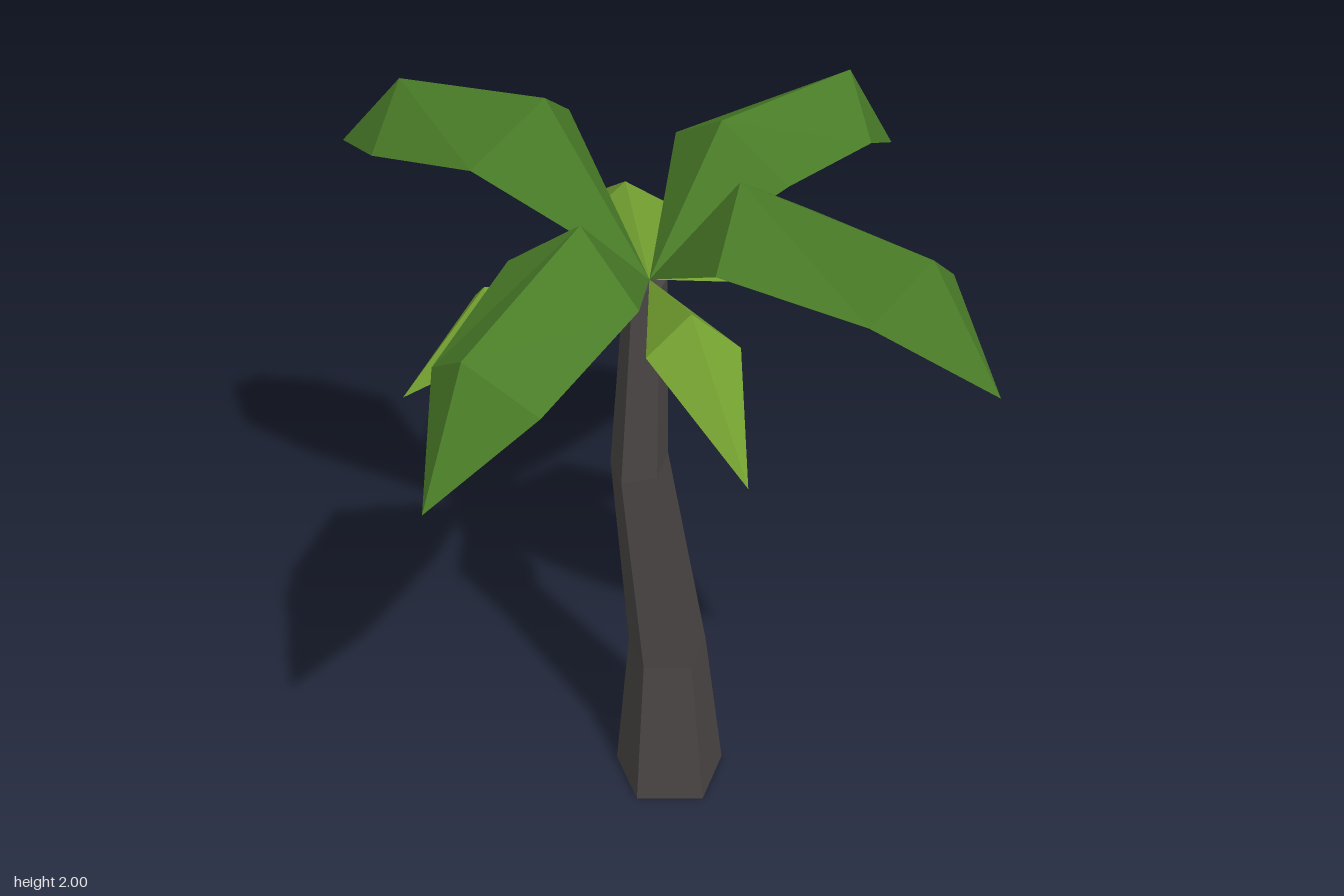
import * as THREE from 'three';

// Joins closed cross-sections with flat faces; a section of repeated points forms a tip
function loft(sections) {
  const positions = [];
  const addTriangle = (a, b, c) => {
    const area = b.clone().sub(a).cross(c.clone().sub(a)).length();
    if (area > 1e-7) for (const p of [a, b, c]) positions.push(p.x, p.y, p.z);
  };
  for (let k = 0; k < sections.length - 1; k++) {
    const s = sections[k], t = sections[k + 1];
    for (let i = 0; i < s.length; i++) {
      const j = (i + 1) % s.length;
      addTriangle(s[i], s[j], t[j]);
      addTriangle(s[i], t[j], t[i]);
    }
  }
  const geometry = new THREE.BufferGeometry();
  geometry.setAttribute('position', new THREE.Float32BufferAttribute(positions, 3));
  geometry.computeVertexNormals();
  return geometry;
}

const crown = [-0.02, 1.61, 0];
const vec = (p) => new THREE.Vector3(...p);
const point = (p, n) => Array.from({ length: n }, () => vec(p));

// A leaf runs from the crown through [left edge, ridge, right edge] sections to its tip
function leaf(sections, tip) {
  return loft([point(crown, 3), ...sections.map((s) => s.map(vec)), point(tip, 3)]);
}

// Five-sided ring: height, centre x, centre z, radius, and slope along x
function trunkRing([y, cx, cz, r, slope]) {
  return Array.from({ length: 5 }, (_, i) => {
    const a = (i / 5) * Math.PI * 2;
    const dx = r * Math.sin(a);
    return new THREE.Vector3(cx + dx, y + dx * slope, cz + r * Math.cos(a));
  });
}

export function createModel() {
  const bark = new THREE.MeshStandardMaterial({ color: 0x4a4545 });
  bark.name = 'bark';
  const darkGreen = new THREE.MeshStandardMaterial({ color: 0x4a7d28 });
  darkGreen.name = 'darkGreen';
  const lightGreen = new THREE.MeshStandardMaterial({ color: 0x739f30 });
  lightGreen.name = 'lightGreen';

  const group = new THREE.Group();
  group.name = 'palmTree';
  const add = (name, geometry, material) => {
    const mesh = new THREE.Mesh(geometry, material);
    mesh.name = name;
    group.add(mesh);
  };

  // Bent, tapering trunk with closed ends
  const rings = [
    [0, 0.052, -0.01, 0.15, 0],
    [0.44, 0.04, -0.005, 0.106, 0],
    [1.08, -0.05, -0.003, 0.075, 0.25],
    [1.61, -0.03, 0, 0.054, 0],
  ].map(trunkRing);
  add('trunk', loft([point([0.052, 0, -0.01], 5), ...rings, point([-0.03, 1.61, 0], 5)]), bark);

  // Large upper fronds
  add('rightFacingFrond', leaf([
    [[0.235, 1.81, -0.24], [0.22, 1.94, -0.04], [0.3, 1.81, 0.12]],
    [[0.615, 1.76, -0.28], [0.69, 1.88, -0.135], [0.64, 1.76, 0.015]],
  ], [0.865, 1.6, -0.165]), darkGreen);
  add('frontFrond', leaf([
    [[0.25, 1.835, 0.26], [0.055, 1.97, 0.245], [-0.1, 1.835, 0.36]],
    [[0.33, 1.84, 0.67], [0.195, 1.968, 0.748], [0.04, 1.84, 0.725]],
  ], [0.245, 1.69, 0.938]), darkGreen);
  add('backFrond', leaf([
    [[-0.31, 1.86, -0.31], [-0.113, 2, -0.285], [0.04, 1.86, -0.41]],
    [[-0.375, 1.76, -0.655], [-0.24, 1.895, -0.73], [-0.08, 1.76, -0.715]],
  ], [-0.29, 1.64, -0.942]), darkGreen);
  add('leftFacingFrond', leaf([
    [[-0.26, 1.77, 0.29], [-0.285, 1.908, 0.1], [-0.38, 1.77, -0.055]],
    [[-0.6, 1.68, 0.395], [-0.715, 1.805, 0.265], [-0.685, 1.68, 0.09]],
  ], [-0.865, 1.487, 0.315]), darkGreen);

  // Small lower leaves
  const lowerLeaves = [
    [[[0.335, 1.61, 0], [0.265, 1.7, 0.09], [0.225, 1.61, 0.2]], [0.57, 1.423, 0.155]],
    [[[-0.02, 1.61, 0.355], [-0.11, 1.7, 0.285], [-0.22, 1.61, 0.26]], [-0.18, 1.423, 0.595]],
    [[[0, 1.64, -0.28], [0.08, 1.73, -0.235], [0.19, 1.64, -0.215]], [0.157, 1.54, -0.495]],
    [[[-0.44, 1.56, -0.02], [-0.4, 1.667, -0.13], [-0.355, 1.57, -0.24]], [-0.615, 1.423, -0.165]],
  ];
  for (const [section, tip] of lowerLeaves) add('lowerLeaf', leaf([section], tip), lightGreen);

  return group;
}
